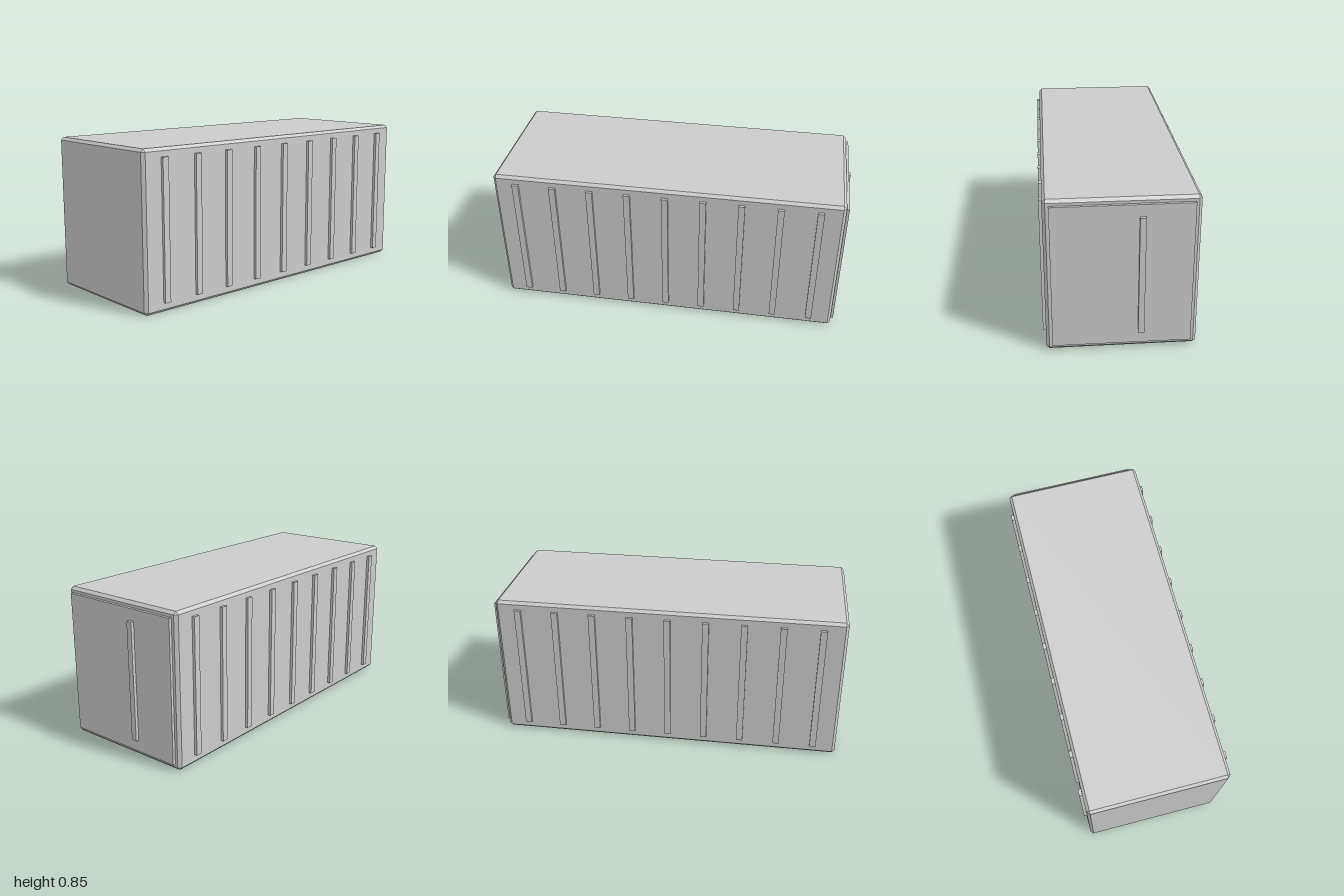
import * as THREE from 'three';
import { ConvexGeometry } from 'three/addons/geometries/ConvexGeometry.js';

const grey = new THREE.MeshStandardMaterial({ color: 0xcccccc });
grey.name = 'plain grey';

// Box with every edge and corner cut off by a flat chamfer
function chamferedBox(w, h, d, c) {
  const points = [];
  for (const sx of [-1, 1]) for (const sy of [-1, 1]) for (const sz of [-1, 1]) {
    for (let axis = 0; axis < 3; axis++) {
      const inset = [0, 1, 2].map((i) => (i === axis ? 0 : c));
      points.push(new THREE.Vector3(
        sx * (w / 2 - inset[0]), sy * (h / 2 - inset[1]), sz * (d / 2 - inset[2])));
    }
  }
  return new ConvexGeometry(points);
}

// Plain box given by its extents on each axis
function addBox(parent, name, [x0, x1], [y0, y1], [z0, z1]) {
  const mesh = new THREE.Mesh(new THREE.BoxGeometry(x1 - x0, y1 - y0, z1 - z0), grey);
  mesh.position.set((x0 + x1) / 2, (y0 + y1) / 2, (z0 + z1) / 2);
  mesh.name = name;
  parent.add(mesh);
}

export function createModel() {
  const container = new THREE.Group();
  container.name = 'container';

  // Main body
  const body = new THREE.Mesh(chamferedBox(1.966, 0.852, 0.786, 0.016), grey);
  body.name = 'body';
  body.position.set(-0.017, 0.426, 0);
  container.add(body);

  // Nine upright ribs on each long side
  const ribs = new THREE.Group();
  ribs.name = 'sideRibs';
  container.add(ribs);
  for (let i = 0; i < 9; i++) {
    const x = -0.87 + i * 0.2131;
    addBox(ribs, 'frontRib', [x - 0.018, x + 0.018], [0.052, 0.806], [0.38, 0.409]);
    addBox(ribs, 'backRib', [x - 0.018, x + 0.018], [0.052, 0.806], [-0.409, -0.38]);
  }

  // Door panel on the end, with its upright handle bar
  addBox(container, 'doorPanel', [0.94, 0.982], [0.034, 0.821], [-0.361, 0.361]);
  addBox(container, 'doorHandle', [0.97, 1], [0.1, 0.756], [-0.114, -0.082]);

  return container;
}
